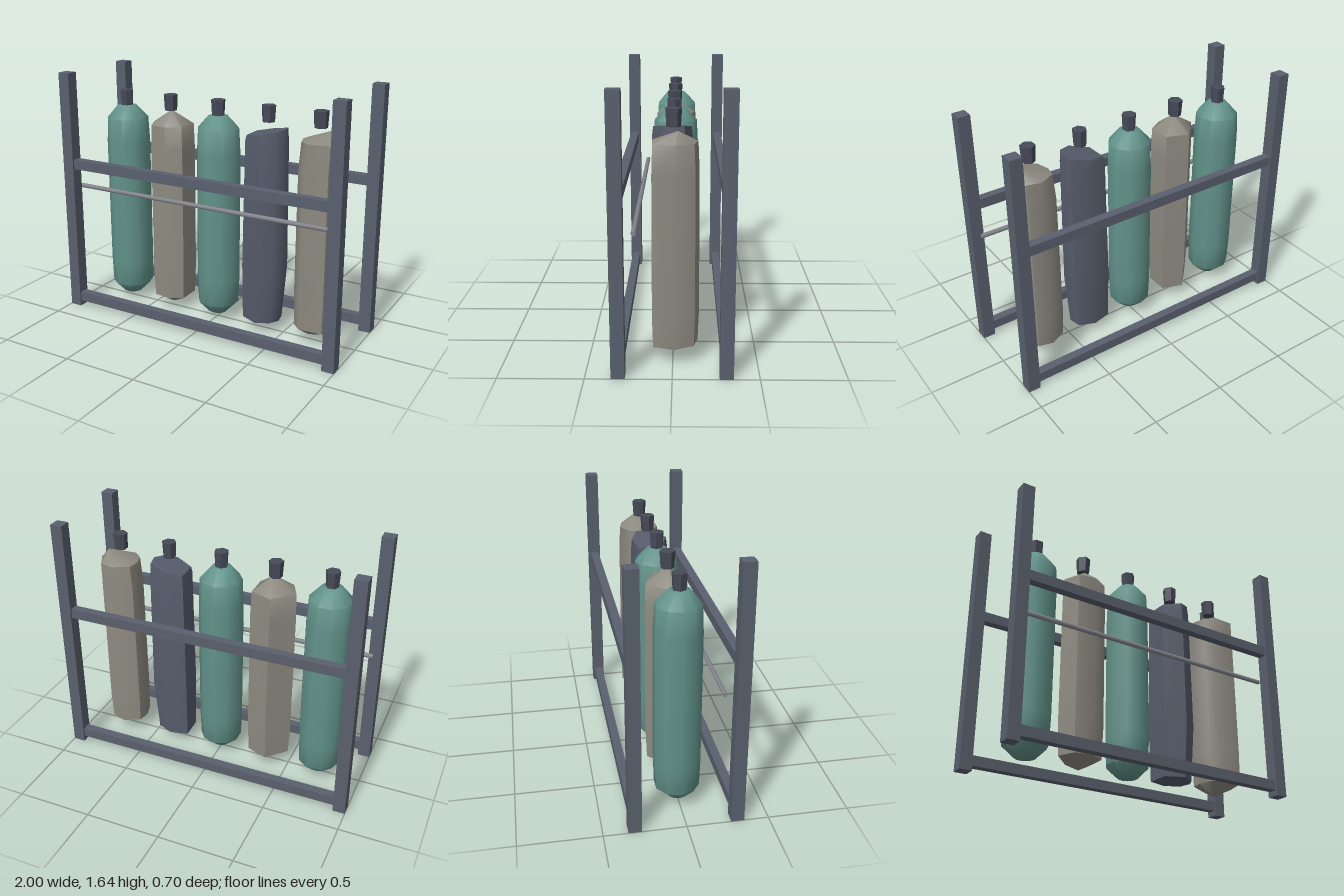
import * as THREE from 'three';
import { toCreasedNormals } from 'three/addons/utils/BufferGeometryUtils.js';

const mat = (color) => new THREE.MeshStandardMaterial({ color });
const steel = mat(0x59606d), dark = mat(0x474b57), rodGrey = mat(0x86888f);
const teal = mat(0x619289), stone = mat(0x8d8a80), slate = mat(0x565c6b);

function add(group, name, geometry, material, x, y, z) {
  const mesh = new THREE.Mesh(geometry, material);
  mesh.name = name;
  mesh.position.set(x, y, z);
  group.add(mesh);
  return mesh;
}

// Regular outline as [x, z] corners, running from right to front to left
const round = (n, r, phase = 0) => Array.from({ length: n }, (_, i) => {
  const a = phase + (i / n) * Math.PI * 2;
  return [r * Math.cos(a), r * Math.sin(a) - 0.01];
});

// Loft of one outline through rings { y, s: scale, dx, dz: shift, slant: rise along x }
function loft(outline, rings) {
  const n = outline.length, pos = [], index = [];
  for (const { y, s, dx = 0, dz = 0, slant = 0 } of rings) {
    for (const [x, z] of outline) pos.push(x * s + dx, y + slant * x * s, z * s + dz);
  }
  for (let k = 0; k < rings.length - 1; k++) {
    for (let i = 0; i < n; i++) {
      const a = k * n + i, b = k * n + (i + 1) % n, c = a + n, d = b + n;
      if (rings[k].s > 0) index.push(a, c, b);
      if (rings[k + 1].s > 0) index.push(b, c, d);
    }
  }
  const g = new THREE.BufferGeometry();
  g.setAttribute('position', new THREE.Float32BufferAttribute(pos, 3));
  g.setIndex(index);
  return toCreasedNormals(g, 0.85);
}

// Domed cylinder with a small flat crown
const domed = [
  { y: 0.03, s: 0 }, { y: 0.045, s: 0.45 }, { y: 0.12, s: 0.96 }, { y: 0.3, s: 1 },
  { y: 1.15, s: 1 }, { y: 1.32, s: 0.94 }, { y: 1.4, s: 0.45 }, { y: 1.41, s: 0 },
];

// The five cylinders, each with its own coarse outline and ends
const bottles = [
  { x: -0.715, material: teal, outline: round(10, 0.146), rings: domed },
  {
    x: -0.36, material: stone,
    outline: [[0.13, 0.07], [0.03, 0.125], [-0.09, 0.105], [-0.143, -0.01], [-0.015, -0.145], [0.13, -0.09]],
    rings: [
      { y: 0.03, s: 0 }, { y: 0.1, s: 0.94 }, { y: 0.3, s: 1 },
      { y: 1.15, s: 1 }, { y: 1.31, s: 0.96 }, { y: 1.405, s: 0, dx: 0.01 },
    ],
  },
  { x: 0, material: teal, outline: round(10, 0.144, 0.3), rings: domed },
  {
    x: 0.36, material: slate,
    outline: [[0.14, 0.02], [0.1, 0.09], [0.005, 0.14], [-0.13, 0.08], [-0.135, -0.09], [0, -0.125], [0.12, -0.075]],
    rings: [
      { y: 0.08, s: 0 }, { y: 0.08, s: 0.88, dx: -0.012 }, { y: 0.45, s: 1 },
      { y: 1.28, s: 0.93 }, { y: 1.34, s: 0.88, slant: 0.2 }, { y: 1.345, s: 0 },
    ],
  },
  {
    x: 0.71, material: stone,
    outline: [[0.145, -0.02], [0.11, 0.12], [-0.05, 0.125], [-0.11, 0.07], [-0.135, -0.02], [-0.12, -0.1], [-0.01, -0.155], [0.09, -0.13]],
    rings: [
      { y: 0.03, s: 0, dx: -0.03 }, { y: 0.11, s: 0.95 }, { y: 0.3, s: 1 },
      { y: 1.15, s: 0.98 }, { y: 1.32, s: 0.93, dx: 0.008 }, { y: 1.39, s: 0, dx: 0.08, dz: -0.03 },
    ],
  },
];

export function createModel() {
  const model = new THREE.Group();
  model.name = 'cylinderRack';

  // Two matching frames: posts joined by an upper and a lower rail
  const postGeo = new THREE.BoxGeometry(0.08, 1.645, 0.08);
  const railGeo = new THREE.BoxGeometry(1.84, 0.065, 0.055);
  for (const [side, z] of [['front', 0.31], ['back', -0.31]]) {
    const frame = new THREE.Group();
    frame.name = side + 'Frame';
    add(frame, 'leftPost', postGeo, steel, 0.96, 0.8225, z);
    add(frame, 'rightPost', postGeo, steel, -0.96, 0.8225, z);
    add(frame, 'lowerRail', railGeo, steel, 0, 0.068, z);
    add(frame, 'upperRail', railGeo, steel, 0, 1.032, z);
    model.add(frame);
  }

  // Thin retaining rod behind the front frame
  const rod = new THREE.CylinderGeometry(0.015, 0.015, 1.92, 6);
  rod.rotateZ(Math.PI / 2);
  add(model, 'retainingRod', rod, rodGrey, 0, 0.85, 0.213);

  // Cylinders with their valves
  const valveGeo = toCreasedNormals(new THREE.CylinderGeometry(0.047, 0.041, 0.105, 6), 0.85);
  bottles.forEach(({ x, material, outline, rings }, i) => {
    const bottle = new THREE.Group();
    bottle.name = 'gasCylinder' + (i + 1);
    add(bottle, 'body', loft(outline, rings), material, 0, 0, 0);
    add(bottle, 'valve', valveGeo, dark, 0, 1.4525, -0.005).rotation.y = 0.5 + i * 0.4;
    bottle.position.x = x;
    model.add(bottle);
  });

  return model;
}
